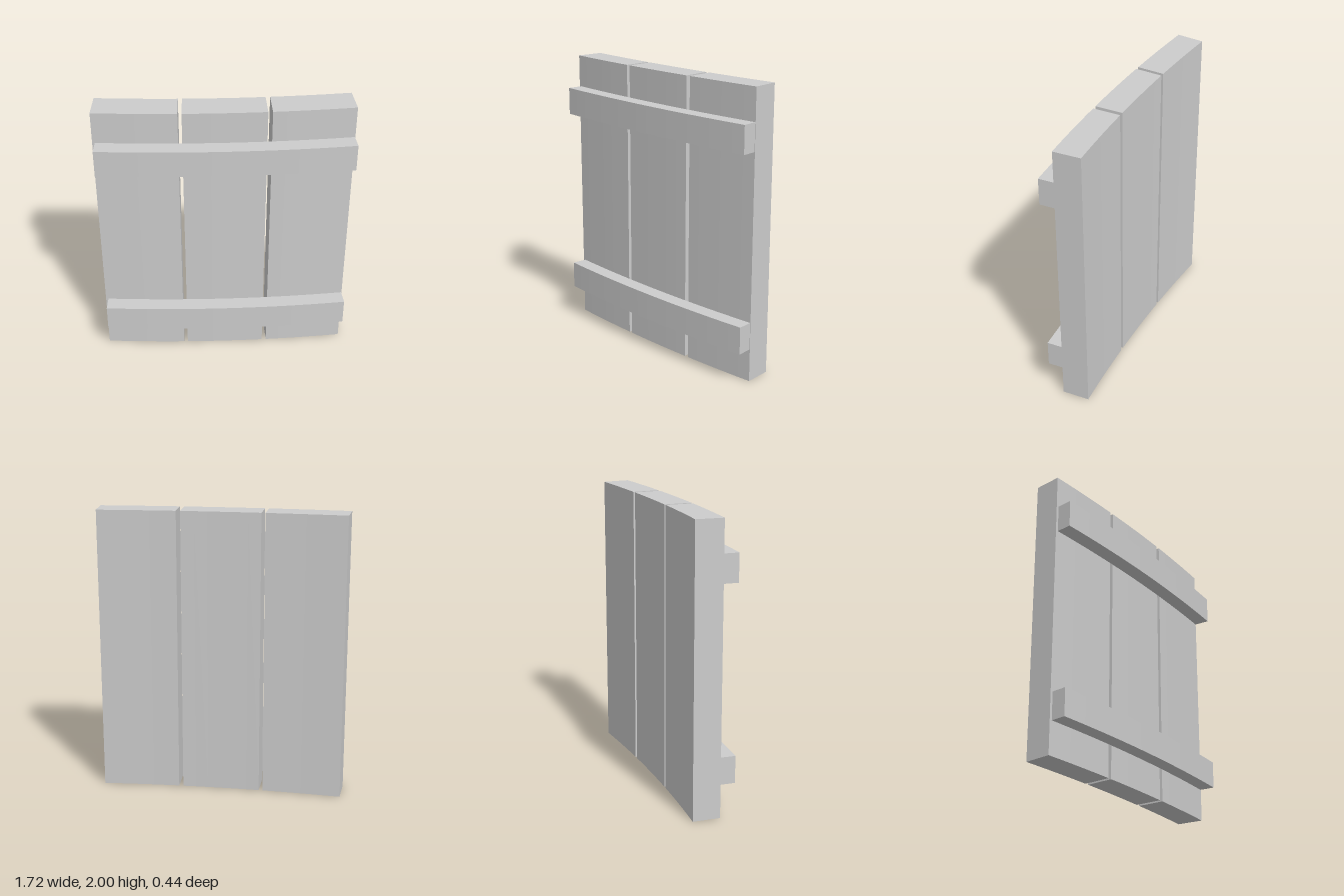
import * as THREE from 'three';

// Every part follows one shared gentle curve about a distant vertical axis.
const CENTER_X = 0.86, CENTER_Z = -10.37;
const BACK = 10.288, FRONT = 10.478, BATTEN_FRONT = 10.585;

// Arc-shaped slab between two radii and two angles, from height y0 to y1
function curvedSlab(name, material, rInner, rOuter, a0, a1, y0, y1, segments) {
  const point = (r, a) => new THREE.Vector2(
    CENTER_X - r * Math.sin(a),
    -(CENTER_Z + r * Math.cos(a))
  );
  const outer = [], inner = [];
  for (let i = 0; i <= segments; i++) {
    const a = a0 + (a1 - a0) * i / segments;
    outer.push(point(rOuter, a));
    inner.unshift(point(rInner, a));
  }
  const geometry = new THREE.ExtrudeGeometry(new THREE.Shape([...outer, ...inner]), {
    depth: y1 - y0, bevelEnabled: false,
  });
  geometry.rotateX(-Math.PI / 2);
  geometry.translate(0, y0, 0);
  const mesh = new THREE.Mesh(geometry, material);
  mesh.name = name;
  return mesh;
}

export function createModel() {
  const model = new THREE.Group();
  model.name = 'curvedShutter';
  const wood = new THREE.MeshStandardMaterial({ color: 0xcccccc });
  wood.name = 'paleGrey';

  // Three upright planks with narrow gaps
  const planks = [
    ['rightPlank', 0.1116, 0.1653],
    ['middlePlank', 0.0557, 0.109],
    ['leftPlank', 0, 0.0528],
  ];
  for (const [name, a0, a1] of planks) {
    model.add(curvedSlab(name, wood, BACK, FRONT, a0, a1, 0, 2, 6));
  }

  // Two battens across the front
  const battens = [['lowerBatten', 0.23, 0.422], ['upperBatten', 1.583, 1.775]];
  for (const [name, y0, y1] of battens) {
    model.add(curvedSlab(name, wood, FRONT, BATTEN_FRONT, 0.0003, 0.1636, y0, y1, 18));
  }
  return model;
}
